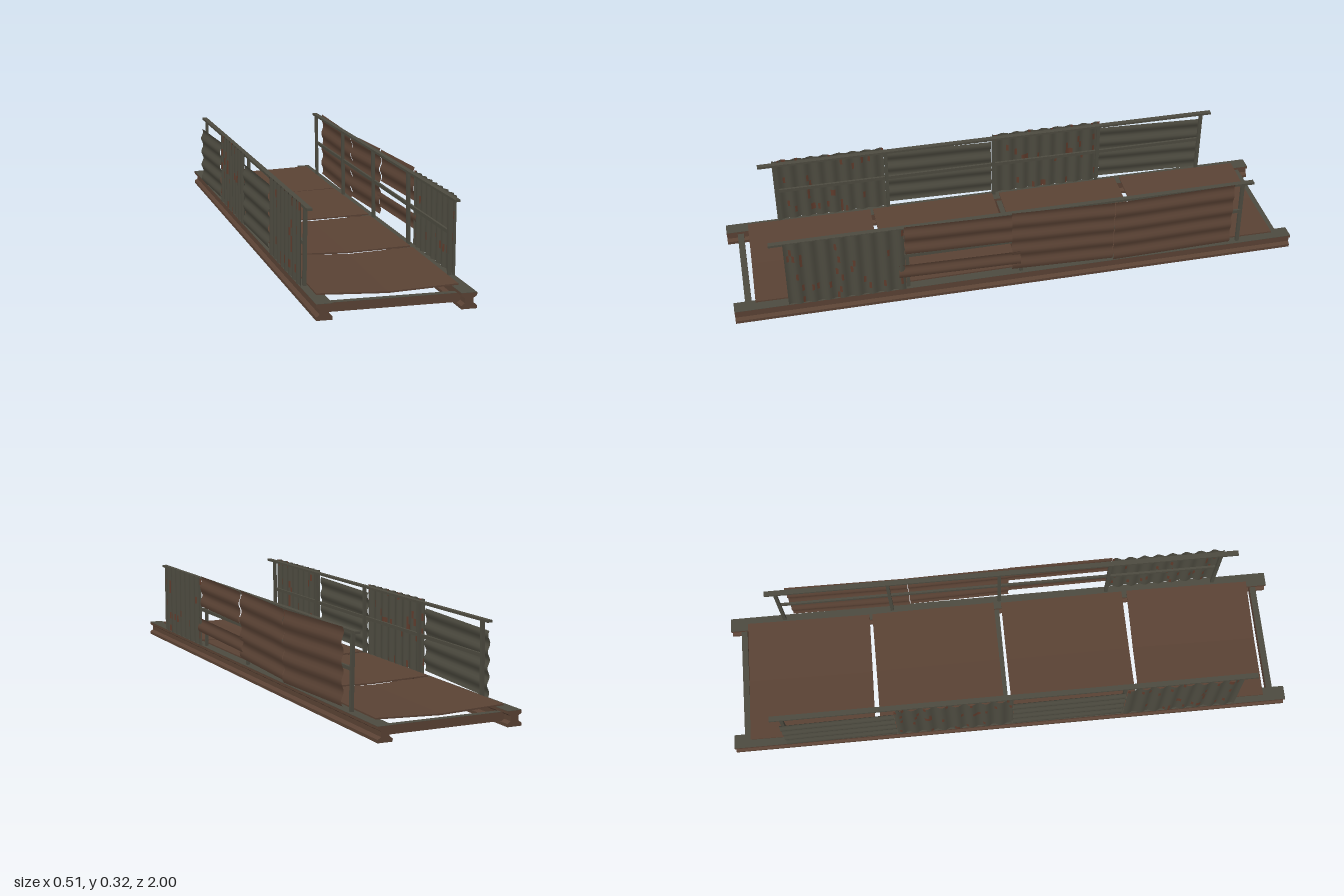
import * as THREE from 'three';

const mat = (name, color, side = THREE.FrontSide) => {
  const m = new THREE.MeshStandardMaterial({ color, side });
  m.name = name;
  return m;
};

export function createModel() {
  const model = new THREE.Group();
  model.name = 'scrapMetalBridge';
  const brown = mat('rusty brown', 0x5a4234, THREE.DoubleSide);
  const grey = mat('weathered grey', 0x4c4a3f, THREE.DoubleSide);
  const rust = mat('rust red', 0x5e3b2c, THREE.DoubleSide);

  const add = (name, geo, material, parent = model) => {
    const m = new THREE.Mesh(geo, material);
    m.name = name;
    parent.add(m);
    return m;
  };
  const box = (name, w, h, d, x, y, z, material, parent) => {
    const m = add(name, new THREE.BoxGeometry(w, h, d), material, parent);
    m.position.set(x, y, z);
    return m;
  };

  // Two long I-beams; flanges have grey outer faces
  const half = [[0.025, 0], [0.025, 0.01], [0.014, 0.018], [0.014, 0.034], [0.025, 0.041], [0.025, 0.05]];
  const outline = [...half, ...half.map(([x, y]) => [-x, y]).reverse()];
  const beamShape = new THREE.Shape(outline.map(([x, y]) => new THREE.Vector2(x, y)));
  for (const s of [-1, 1]) {
    const beam = add('longBeam', new THREE.ExtrudeGeometry(beamShape, { depth: 2, bevelEnabled: false }), brown);
    beam.position.set(s * 0.225, 0, -1);
    box('beamTopFace', 0.05, 0.001, 2, s * 0.225, 0.0502, 0, grey);
    box('beamBottomFace', 0.05, 0.001, 2, s * 0.225, 0.0004, 0, grey);
  }

  // Cross beams
  for (const z of [-0.952, -0.015, 0.95]) {
    box('crossBeam', 0.424, 0.028, 0.022, 0, 0.026, z, brown);
    box('crossBeamTop', 0.424, 0.001, 0.022, 0, 0.0402, z, grey);
  }

  // Sagging deck plates: [centre z, length, sag, yaw]
  for (const [z, len, sag, yaw] of [
    [-0.713, 0.45, 0.009, -0.012], [-0.247, 0.452, 0.006, 0.008],
    [0.232, 0.452, 0.007, 0.006], [0.698, 0.45, 0.01, -0.012]]) {
    const geo = new THREE.BoxGeometry(0.446, 0.005, len, 8, 1, 1).toNonIndexed();
    const p = geo.attributes.position;
    for (let i = 0; i < p.count; i++) {
      p.setY(i, p.getY(i) - sag * (1 - Math.abs(p.getX(i)) / 0.223));
    }
    geo.computeVertexNormals();
    const plate = add('deckPlate', geo, brown);
    plate.position.set(-0.003, 0.057, z);
    plate.rotation.y = yaw;
  }

  // Posts and rails on each side
  for (const s of [-1, 1]) {
    const railing = new THREE.Group();
    railing.name = s < 0 ? 'rightRailing' : 'leftRailing';
    model.add(railing);
    for (const z of [-0.8, -0.4, 0, 0.4, 0.8]) {
      const post = box('post', 0.011, 0.252, 0.012, s * 0.232, 0.176, z, grey, railing);
      post.rotation.z = s * 0.015;
    }
    box('handRail', 0.018, 0.008, 1.7, s * 0.233, 0.301, 0.012, grey, railing);
    box('midRail', 0.008, 0.012, 1.6, s * 0.236, 0.185, 0, grey, railing);
  }

  // Corrugated sheet: waves run along z ('along') or up the height ('up')
  function sheet(name, side, z0, z1, y0, y1, dir, waves, material, o = {}) {
    const along = dir === 'along';
    const nz = along ? waves * 6 : 4;
    const ny = along ? 10 : waves * 6;
    const geo = new THREE.PlaneGeometry(1, 1, nz, ny);
    const p = geo.attributes.position;
    for (let i = 0; i < p.count; i++) {
      const u = p.getX(i) + 0.5, v = p.getY(i) + 0.5;
      const wave = 0.0045 * Math.sin((along ? u : v) * waves * Math.PI * 2);
      const tilt = (o.tilt ?? 0) * (u - 0.5);
      p.setXYZ(i, side * ((o.x ?? 0.248) + wave), y0 + (y1 - y0) * v + tilt, z0 + (z1 - z0) * u);
    }
    geo.computeVertexNormals();
    // Scattered rust cells
    if (o.spots) {
      let seed = o.spots;
      const rnd = () => (seed = (seed * 16807) % 2147483647) / 2147483647;
      geo.clearGroups();
      for (let c = 0; c < nz * ny; c++) geo.addGroup(c * 6, 6, rnd() < 0.05 ? 1 : 0);
    }
    add(name, geo, o.spots ? [material, rust] : material);
  }

  // Panels on the +x side
  sheet('greyCorrugatedPanel', 1, 0.41, 0.815, 0.05, 0.307, 'along', 8, grey, { spots: 4711 });
  sheet('upperBoard', 1, 0.035, 0.408, 0.197, 0.312, 'up', 2, brown, { x: 0.25, tilt: 0.008 });
  sheet('lowerBoard', 1, 0.005, 0.432, 0.099, 0.152, 'up', 1, brown, { x: 0.252, tilt: 0.008 });
  sheet('brownPanel', 1, -0.33, 0.035, 0.065, 0.306, 'up', 4, brown, { x: 0.247, tilt: 0.012 });
  sheet('brownEndPanel', 1, -0.765, -0.332, 0.056, 0.304, 'up', 4, brown, { x: 0.247, tilt: -0.01 });

  // Panels on the -x side
  sheet('greyCorrugatedPanel', -1, 0.405, 0.81, 0.05, 0.309, 'along', 8, grey, { spots: 977 });
  sheet('greyPlainPanel', -1, 0.005, 0.4, 0.062, 0.28, 'up', 4, grey, { x: 0.25, tilt: 0.008 });
  sheet('greyCorrugatedPanel', -1, -0.41, 0.0, 0.05, 0.309, 'along', 8, grey, { spots: 3301 });
  sheet('greyEndPanel', -1, -0.81, -0.412, 0.056, 0.272, 'up', 4, grey, { x: 0.25, tilt: 0.014 });

  return model;
}
